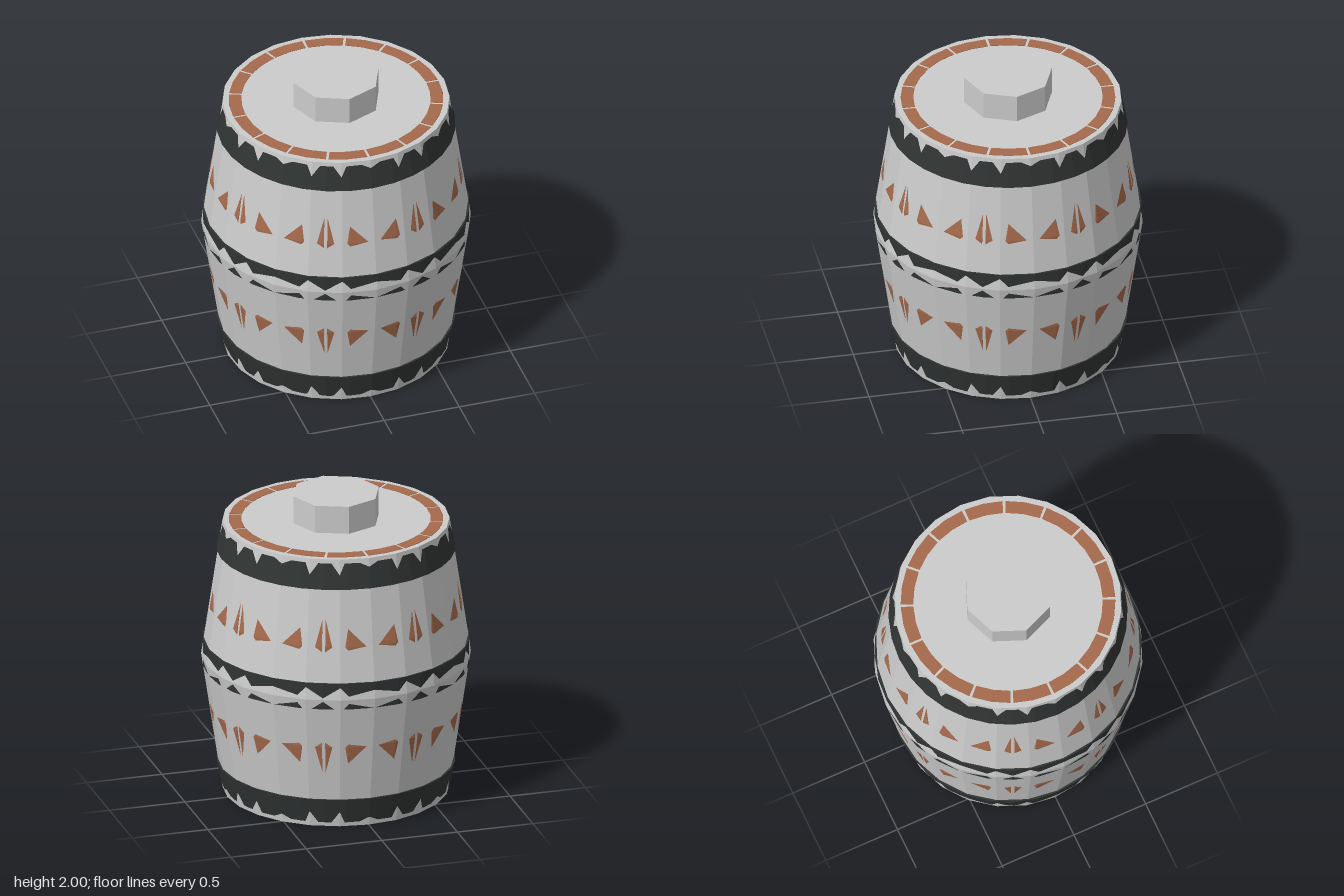
import * as THREE from 'three';

const BARREL_SIDES = 24, HOOP_SIDES = 32, STAVES = 16;
const HEIGHT = 1.82;

const mat = (color) => new THREE.MeshStandardMaterial({ color, flatShading: true });

function part(name, geometry, material) {
  const mesh = new THREE.Mesh(geometry, material);
  mesh.name = name;
  return mesh;
}

const lathe = (points, sides) =>
  new THREE.LatheGeometry(points.map(([r, y]) => new THREE.Vector2(r, y)), sides);

// Closed ring: sloped outer face, straight drop to a hidden inner face
const hoop = (y0, r0, y1, r1, depth = 0.05) =>
  lathe([[r0, y0], [r1, y1], [r1 - depth, y1], [r0 - depth, y0], [r0, y0]], HOOP_SIDES);

// Curved board: a box whose x becomes angle, y a bulging row, z the radius
function staveGeometry() {
  const rows = [[0, 0.68], [0.39, 0.771], [0.57, 0.8023],
    [1.25, 0.8023], [1.43, 0.771], [HEIGHT, 0.68]];
  const geo = new THREE.BoxGeometry(1, 1, 1, 2, rows.length - 1, 1);
  const pos = geo.attributes.position;
  const span = (Math.PI * 2) / STAVES - 0.026;
  for (let i = 0; i < pos.count; i++) {
    const [y, radius] = rows[Math.round((pos.getY(i) + 0.5) * (rows.length - 1))];
    const angle = pos.getX(i) * span;
    const r = radius - (pos.getZ(i) > 0 ? 0 : 0.08);
    pos.setXYZ(i, r * Math.sin(angle), y, r * Math.cos(angle));
  }
  geo.computeVertexNormals();
  return geo;
}

export function createModel() {
  const model = new THREE.Group();
  model.name = 'barrel';
  const grey = mat(0xcccccc), wood = mat(0xa56a4c), iron = mat(0x303433);

  // Faceted body, closed at both ends
  const lip = 0.003;
  model.add(part('body', lathe([[0, lip], [0.72, lip], [0.855, HEIGHT / 2],
    [0.72, HEIGHT - lip], [0, HEIGHT - lip]], BARREL_SIDES), grey));

  // Staves: show as a ring on each end and break through the sides
  const staves = new THREE.Group();
  staves.name = 'staves';
  const board = staveGeometry();
  for (let i = 0; i < STAVES; i++) {
    const stave = part('stave', board, wood);
    stave.rotation.y = ((i + 0.5) / STAVES) * Math.PI * 2;
    staves.add(stave);
  }
  model.add(staves);

  // Iron hoops
  model.add(part('bottomHoop', hoop(0.03, 0.722, 0.195, 0.758), iron));
  model.add(part('middleHoop', hoop(0.845, 0.8452, 1.02, 0.847), iron));
  model.add(part('topHoop', hoop(HEIGHT - 0.195, 0.758, HEIGHT - 0.03, 0.722), iron));

  // Octagonal plug on the lid
  const plug = part('plug', new THREE.CylinderGeometry(0.283, 0.283, 0.19, 8), grey);
  plug.position.y = 1.905;
  model.add(plug);

  return model;
}
